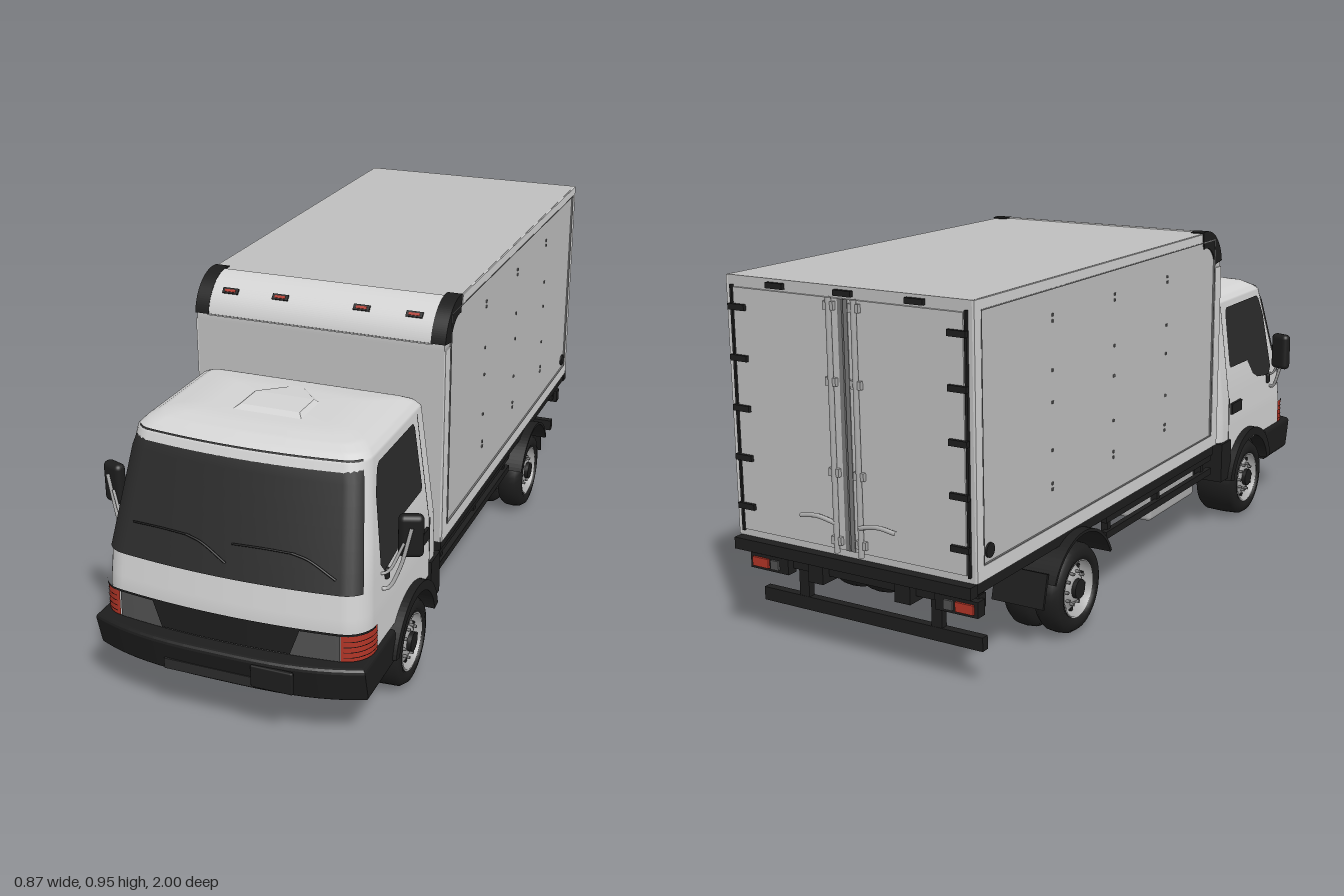
import * as THREE from 'three';
import { RoundedBoxGeometry } from 'three/addons/geometries/RoundedBoxGeometry.js';
import { ConvexGeometry } from 'three/addons/geometries/ConvexGeometry.js';
import { ParametricGeometry } from 'three/addons/geometries/ParametricGeometry.js';

const paint = (name, color) => Object.assign(new THREE.MeshStandardMaterial({ color }), { name });
const white = paint('cabWhite', 0xd2d2d2), grey = paint('boxGrey', 0xbebebe), black = paint('trimBlack', 0x1d1d1d);
const glass = paint('darkGlass', 0x2a2a2a), panel = paint('grilleGrey', 0x505050), red = paint('lampRed', 0xb03426);
const metal = paint('bareMetal', 0xaaaaaa), seam = paint('seamGrey', 0x777777);
glass.side = THREE.DoubleSide;

const V = (x, y, z) => new THREE.Vector3(x, y, z);
const lerp = THREE.MathUtils.lerp;

// Cab outline by height: y, half width, front z, back z
const RINGS = [[.24, .352, .95, .39], [.32, .352, .948, .39], [.41, .348, .935, .39], [.70, .311, .832, .395],
  [.714, .298, .812, .405], [.727, .275, .785, .43], [.734, .24, .75, .47], [.737, .001, .6, .599]];
function ringAt(y) {
  let i = 0;
  while (i < RINGS.length - 2 && y > RINGS[i + 1][0]) i++;
  const a = RINGS[i], b = RINGS[i + 1], k = (y - a[0]) / (b[0] - a[0]);
  return a.map((v, j) => lerp(v, b[j], k));
}
// Point on the cab skin: |t| 0..1 front, 1..2 side, 2..3 back
function skin(t, y, off = 0) {
  let [, w, f, b] = ringAt(y);
  w += off; f += off;
  const a = Math.abs(t), q = Math.min(a, 3);
  const round = (x, r) => r * (1 - Math.sqrt(Math.max(0, 1 - Math.max(0, (x - w + r) / r) ** 2)));
  const front = x => f - .086 * w * (x / w) ** 2 - round(x, .17 * w);
  let x = w, z;
  if (q <= 1) { x = w * Math.sin(q * Math.PI / 2); z = front(x); }
  else if (q <= 2) z = lerp(front(w), b + .09 * w, q - 1);
  else { x = w * Math.cos((q - 2) * Math.PI / 2); z = b + round(x, .09 * w); }
  return V(Math.sign(t) * x, y, z);
}
const onFront = (x, y, off) => skin(Math.sign(x) * Math.asin(Math.abs(x) / ringAt(y)[1]) * 2 / Math.PI, y, off);

export function createModel() {
  const root = new THREE.Group();
  root.name = 'boxTruck';
  let parent = root;
  const group = name => { parent = new THREE.Group(); parent.name = name; root.add(parent); return parent; };
  const add = (name, geo, mat, x = 0, y = 0, z = 0) => {
    const m = new THREE.Mesh(geo, mat);
    m.name = name; m.position.set(x, y, z); parent.add(m);
    return m;
  };
  const box = (name, mat, w, h, d, x, y, z) => add(name, new THREE.BoxGeometry(w, h, d), mat, x, y, z);
  const soft = (name, mat, w, h, d, x, y, z, r = .01) => add(name, new RoundedBoxGeometry(w, h, d, 3, r), mat, x, y, z);
  const tube = (name, mat, pts, r) => add(name, new THREE.TubeGeometry(new THREE.CatmullRomCurve3(pts), 20, r, 8), mat);
  const rod = (name, mat, r, len, axis, x, y, z, r2 = r) => {
    const g = new THREE.CylinderGeometry(r, r2, len, 24);
    if (axis === 'x') g.rotateZ(-Math.PI / 2);
    if (axis === 'z') g.rotateX(Math.PI / 2);
    return add(name, g, mat, x, y, z);
  };
  // Extrude a (z, y) shape across x
  const across = (name, mat, shape, width, x = 0) => {
    const g = new THREE.ExtrudeGeometry(shape, { depth: width, bevelEnabled: false, curveSegments: 16 });
    return add(name, g.translate(0, 0, -width / 2).rotateY(-Math.PI / 2), mat, x);
  };
  const band = (z, y, r, ri, a0, a1) => new THREE.Shape().absarc(z, y, r, a0, a1, false).absarc(z, y, ri, a1, a0, true);
  // Thin plate following the cab skin, optionally narrower at its foot
  const patch = (name, mat, t0, t1, y0, y1, off = .004, foot = 1) => add(name, new ParametricGeometry((u, v, p) =>
    p.copy(skin(lerp(t0, t1, u) * lerp(foot, 1, v), lerp(y0, y1, v), off)), 32, 6), mat);

  // Cab shell, windscreen and front face
  group('cab');
  const n = RINGS.length - 1;
  add('cabShell', new ParametricGeometry((u, v, p) => {
    const i = Math.min(n - 1, Math.floor(v * n)), y = lerp(RINGS[i][0], RINGS[i + 1][0], v * n - i);
    p.copy(skin(u * 6 - 3, y));
  }, 96, n * 3), white);
  add('roofScoop', new ConvexGeometry([V(0, .733, .47), ...[-1, 1].flatMap(s =>
    [V(s * .1, .73, .69), V(s * .08, .744, .66), V(s * .1, .73, .56), V(s * .08, .744, .57)])]), white);
  patch('windscreen', glass, -.82, .82, .412, .708);
  patch('grillePanel', panel, -.62, .62, .243, .316);
  patch('grilleCentre', black, -.37, .37, .247, .316, .007, .86);
  patch('grilleTopLine', black, -.99, .99, .314, .32, .008);
  box('cabFloor', black, .66, .05, .48, 0, .225, .63);
  for (const x of [0, .27]) {
    const c = x - .13;
    tube('wiperArm', black, [onFront(x, .448, .009), onFront(c + .06, .485, .009), onFront(c + .02, .495, .009)], .003);
    tube('wiperBlade', black, [onFront(c - .13, .494, .008), onFront(c - .05, .496, .008), onFront(c + .03, .494, .008)], .0025);
  }
  for (const s of [-1, 1]) {
    const lamp = (a, b) => s > 0 ? [a, b] : [-b, -a];
    patch('headLamp', red, ...lamp(.62, 1.03), .245, .316, .006);
    for (let i = 0; i < 4; i++) patch('lampRib', black, ...lamp(.64, 1.03), .256 + i * .014, .258 + i * .014, .008);
    // Side glass and door seams on the tapered wall
    const wall = (name, pts, mat, off) => {
      const g = new THREE.ShapeGeometry(new THREE.Shape(pts.map(p => new THREE.Vector2(...p))));
      const p = g.attributes.position;
      for (let i = 0; i < p.count; i++) {
        const z = p.getX(i), y = p.getY(i);
        p.setXYZ(i, s * (ringAt(y)[1] + off), y, z);
      }
      g.computeVertexNormals();
      add(name, g, mat);
    };
    wall('sideWindow', [[.80, .445], [.775, .62], [.75, .675], [.735, .685], [.495, .685], [.485, .67], [.482, .51], [.49, .50],
      [.62, .498], [.655, .45], [.69, .432], [.78, .42]], glass, .003);
    wall('doorRearSeam', [[.455, .412], [.459, .412], [.459, .695], [.455, .695]], glass, .0015);
    box('doorLowerSeam', seam, .002, .13, .004, s * .352, .345, .457);
    box('doorHandle', black, .012, .034, .075, s * .351, .373, .51);
    soft('sideMarker', black, .012, .03, .016, s * .352, .41, .77, .005);
    // Mirror on twin stalks
    soft('mirrorHead', black, .062, .112, .032, s * .403, .51, .745, .014).rotation.y = s * .35;
    tube('mirrorStalk', metal, [V(s * .335, .385, .80), V(s * .36, .38, .79), V(s * .385, .43, .775), V(s * .412, .54, .765)], .005);
    tube('mirrorBrace', metal, [V(s * .335, .42, .80), V(s * .36, .425, .79), V(s * .395, .50, .77)], .004);
    // Arch, rear skirt and step below the cab
    across('frontArch', black, band(.6, .12, .165, .138, .25, Math.PI - .2), .15, s * .298);
    box('cabSkirt', black, .1, .12, .07, s * .31, .22, .425);
  }

  // Bumper
  group('bumper');
  const plan = [];
  for (let i = 0; i <= 24; i++) {
    const u = i / 12 - 1;
    plan.push(new THREE.Vector2(.352 * Math.sin(u * Math.PI / 2), -.987 + .05 * Math.abs(Math.sin(u * Math.PI / 2)) ** 3));
  }
  plan.push(new THREE.Vector2(.352, -.75), new THREE.Vector2(-.352, -.75));
  const bg = new THREE.ExtrudeGeometry(new THREE.Shape(plan), { depth: .075, bevelSize: .011, bevelThickness: .012, bevelSegments: 3 });
  bg.rotateX(-Math.PI / 2);
  const bp = bg.attributes.position;
  for (let i = 0; i < bp.count; i++) if (bp.getY(i) < .04) bp.setZ(i, bp.getZ(i) - .02 * (bp.getZ(i) > .85));
  bg.computeVertexNormals();
  add('bumperBody', bg, black, 0, .154, 0);
  soft('numberPlate', black, .11, .06, .012, .145, .197, .996, .004);
  box('bumperIntake', glass, .24, .028, .006, -.03, .17, .985);

  // Cargo box
  group('cargoBox');
  const side = new THREE.Shape().moveTo(-.975, .288).lineTo(.36, .288).lineTo(.36, .835)
    .absarc(.25, .835, .11, 0, Math.PI / 2, false).lineTo(-.975, .945);
  across('cargoBody', grey, side, .7);
  across('frontFairing', white, band(.25, .835, .114, .1, .12, 1.5), .63);
  box('fairingSeam', seam, .64, .003, .004, 0, .852, .361);
  for (const s of [-1, 1]) {
    across('cornerCap', black, band(.25, .835, .115, .066, .15, 1.75), .04, s * .334);
    for (const x of [.115, .26]) {
      box('roofMarker', black, .045, .016, .012, s * x, .912, .332).rotation.x = -.75;
      box('markerLens', red, .03, .007, .014, s * x, .912, .333).rotation.x = -.75;
    }
    const X = s * .351;
    box('bottomRail', white, .006, .036, 1.33, X, .307, -.308);
    box('topRail', white, .006, .024, 1.2, X, .932, -.375);
    box('rearPost', white, .006, .655, .028, X, .617, -.961);
    box('frontPost', white, .006, .53, .04, X, .57, .34);
    for (const y of [.326, .919]) box('panelSeam', seam, .008, .003, 1.26, X, y, -.317);
    for (const z of [.313, -.947]) box('panelSeam', seam, .008, .59, .003, X, .622, z);
    for (const z of [0, -.31, -.63]) for (const y of [.42, .435, .52, .64, .72, .84, .855]) box('rivet', seam, .004, .007, .007, X, y, z);
    rod('fillerCap', black, .018, .008, 'x', X, .355, -.92);
    // Rear doors with lock bars, hinges and handles
    box('rearDoor', grey, .325, .61, .008, s * .166, .612, -.978);
    box('doorEdge', black, .006, .62, .008, s * .335, .612, -.979);
    box('doorGasket', seam, .012, .61, .01, s * .008, .612, -.979);
    rod('lockBar', metal, .007, .62, 'y', s * .036, .61, -.989);
    for (const y of [.33, .5, .72, .9]) box('barBracket', metal, .03, .02, .012, s * .036, y, -.986);
    tube('doorHandle', metal, [V(s * .036, .375, -.992), V(s * .09, .385, -.994), V(s * .14, .378, -.992)], .006);
    for (let i = 0; i < 5; i++) box('hinge', black, .05, .015, .012, s * .315, .37 + i * .125, -.985);
  }
  for (const x of [-.2, 0, .2]) box('rearMarker', black, .05, .014, .012, x, .93, -.98);
  box('rearSill', black, .7, .03, .03, 0, .272, -.985);

  // Chassis, rear bar and underbody
  group('chassis');
  for (const s of [-1, 1]) {
    box('frameRail', black, .045, .065, 1.72, s * .13, .225, -.1);
    box('boxBearer', black, .035, .03, 1.32, s * .33, .274, -.31);
    for (const y of [.25, .205]) box('sideGuard', black, .016, .02, .68, s * .335, y, .01);
    for (const z of [.3, 0, -.3]) box('guardPost', black, .02, .085, .018, s * .325, .237, z);
    across('rearFender', black, band(-.51, .115, .165, .157, .42, Math.PI - .42), .175, s * .288);
    box('mudFlap', black, .15, .09, .008, s * .28, .165, -.67).rotation.x = .25;
    box('leafSpring', black, .035, .02, .42, s * .15, .17, -.51);
    box('frontSpring', black, .035, .02, .36, s * .15, .165, .6);
    box('rearBarPost', black, .03, .12, .02, s * .2, .17, -.91);
    box('rearLampHousing', black, .12, .04, .03, s * .28, .215, -.94);
    box('rearLamp', red, .05, .024, .008, s * .305, .215, -.957);
    box('rearLampInner', panel, .025, .024, .008, s * .26, .215, -.957);
  }
  for (const z of [.35, .1, -.2, -.35, -.7, -.93]) box('crossMember', black, .66, .025, .035, 0, .258, z);
  box('rearLampBar', black, .66, .035, .03, 0, .225, -.92);
  box('underrunBar', black, .66, .035, .022, 0, .115, -.91);
  box('engine', black, .2, .12, .42, 0, .19, .62);
  rod('frontAxle', black, .022, .5, 'x', 0, .12, .6);
  rod('rearAxle', black, .028, .5, 'x', 0, .12, -.51);
  add('differential', new THREE.SphereGeometry(.055, 20, 14), black, 0, .125, -.51);
  rod('driveShaft', black, .016, .85, 'z', 0, .17, -.05);
  rod('spareWheel', black, .12, .06, 'y', -.03, .155, -.16);
  soft('fuelTank', metal, .15, .085, .3, -.235, .182, .15, .012);
  rod('muffler', metal, .04, .2, 'z', .2, .165, .05);
  tube('exhaustPipe', metal, [V(.05, .16, .45), V(.08, .15, .33), V(.17, .16, .24), V(.2, .165, .1)], .014);
  tube('tailPipe', metal, [V(.2, .165, -.03), V(.22, .16, -.12), V(.3, .15, -.2)], .014);
  box('battery', black, .12, .1, .16, .25, .21, .28);

  // Wheels: tyre, dished rim with holes, hub
  const lathe = pts => new THREE.LatheGeometry(pts.map(p => new THREE.Vector2(...p)), 40).rotateZ(-Math.PI / 2);
  const wheel = (name, s, z, tyres, rimDepth) => {
    const g = group(name);
    for (const [x, w] of tyres) {
      const h = w / 2;
      add('tyre', lathe([[.01, -h + .012], [.075, -h + .006], [.09, -h], [.108, -h + .004], [.118, -h + .018], [.12, 0],
        [.118, h - .018], [.108, h - .004], [.09, h], [.075, h - .006], [.07, h - .05], [.01, h - .05]]), black, x);
    }
    const o = .358;
    add('rim', lathe([[.079, o], [.073, o + .001], [.068, o - rimDepth], [.05, o - rimDepth + .014], [.038, o - rimDepth + .016],
      [.034, o - .006], [.001, o - .004]]), metal);
    rod('hub', black, .026, .012, 'x', o, 0, 0);
    for (let i = 0; i < 10; i++) {
      const a = i * Math.PI / 5;
      rod('rimHole', black, .007, .006, 'x', o - rimDepth + .008, .059 * Math.cos(a), .059 * Math.sin(a));
      rod('wheelNut', seam, .004, .012, 'x', o - rimDepth + .02, .043 * Math.cos(a + .3), .043 * Math.sin(a + .3));
    }
    g.position.set(0, .121, z);
    if (s < 0) g.rotation.y = Math.PI;
  };
  for (const s of [-1, 1]) {
    const label = s > 0 ? 'left' : 'right';
    wheel(label + 'FrontWheel', s, .6, [[.296, .134]], .026);
    wheel(label + 'RearWheel', s, -.51, [[.325, .078], [.235, .078]], .03);
  }
  return root;
}
